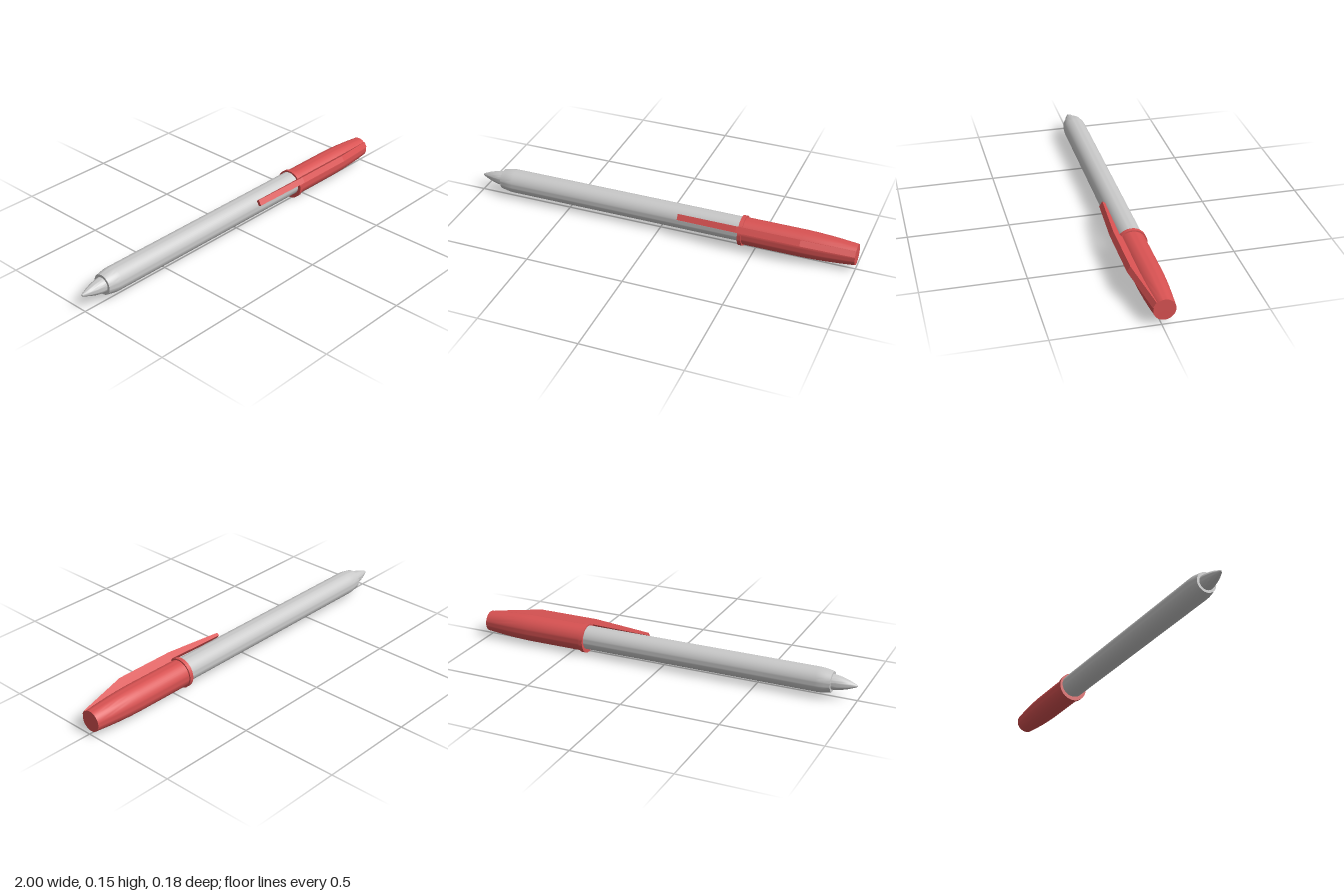
import * as THREE from 'three';
import { toCreasedNormals } from 'three/addons/utils/BufferGeometryUtils.js';

const grey = new THREE.MeshStandardMaterial({ color: 0xc9c9c9 });
grey.name = 'light grey';
const red = new THREE.MeshStandardMaterial({ color: 0xd85252 });
red.name = 'red';

// Turned part lying along x, from [x, radius] pairs in order of rising x
function turned(name, profile, material) {
  const points = profile.map(([x, r]) => new THREE.Vector2(r, x));
  const geometry = new THREE.LatheGeometry(points, 48).rotateZ(-Math.PI / 2);
  const mesh = new THREE.Mesh(toCreasedNormals(geometry, 0.5), material);
  mesh.name = name;
  return mesh;
}

export function createModel() {
  const model = new THREE.Group();
  model.name = 'pen';

  // Barrel and tip sit slightly high inside the cap
  const body = new THREE.Group();
  body.name = 'body';
  body.position.set(0, 0.081, -0.014);
  body.add(turned('barrel', [
    [-0.88, 0], [-0.88, 0.051], [-0.855, 0.056], [-0.83, 0.06], [-0.81, 0.061],
    [0.5, 0.061], [0.5, 0],
  ], grey));
  body.add(turned('tip', [
    [-1, 0], [-1, 0.004], [-0.99, 0.009], [-0.96, 0.021], [-0.93, 0.03],
    [-0.9, 0.036], [-0.87, 0.039],
  ], grey));
  model.add(body);

  const capGroup = new THREE.Group();
  capGroup.name = 'capAssembly';
  capGroup.position.set(0, 0.075, -0.013);

  // Cap with a rim at the mouth and a curved taper to a flat end
  capGroup.add(turned('cap', [
    [0.42, 0], [0.42, 0.075], [0.44, 0.075], [0.44, 0.068], [0.74, 0.068],
    [0.8, 0.0665], [0.86, 0.0635], [0.92, 0.0592], [0.97, 0.0547], [1, 0.052], [1, 0],
  ], red));

  // Clip: side profile in x and radius, given a width and turned about the axis
  const width = 0.03;
  const side = new THREE.Shape([
    [0.11, 0.07], [0.43, 0.077], [0.43, 0.055], [0.76, 0.055], [1, 0.04],
    [1, 0.055], [0.74, 0.113], [0.42, 0.113], [0.11, 0.086],
  ].map(([x, r]) => new THREE.Vector2(x, r)));
  const clipGeometry = new THREE.ExtrudeGeometry(side, { depth: width, bevelEnabled: false });
  clipGeometry.translate(0, 0, -width / 2);
  const clip = new THREE.Mesh(clipGeometry, red);
  clip.name = 'clip';
  clip.rotation.x = 1.005;
  capGroup.add(clip);
  model.add(capGroup);

  return model;
}
